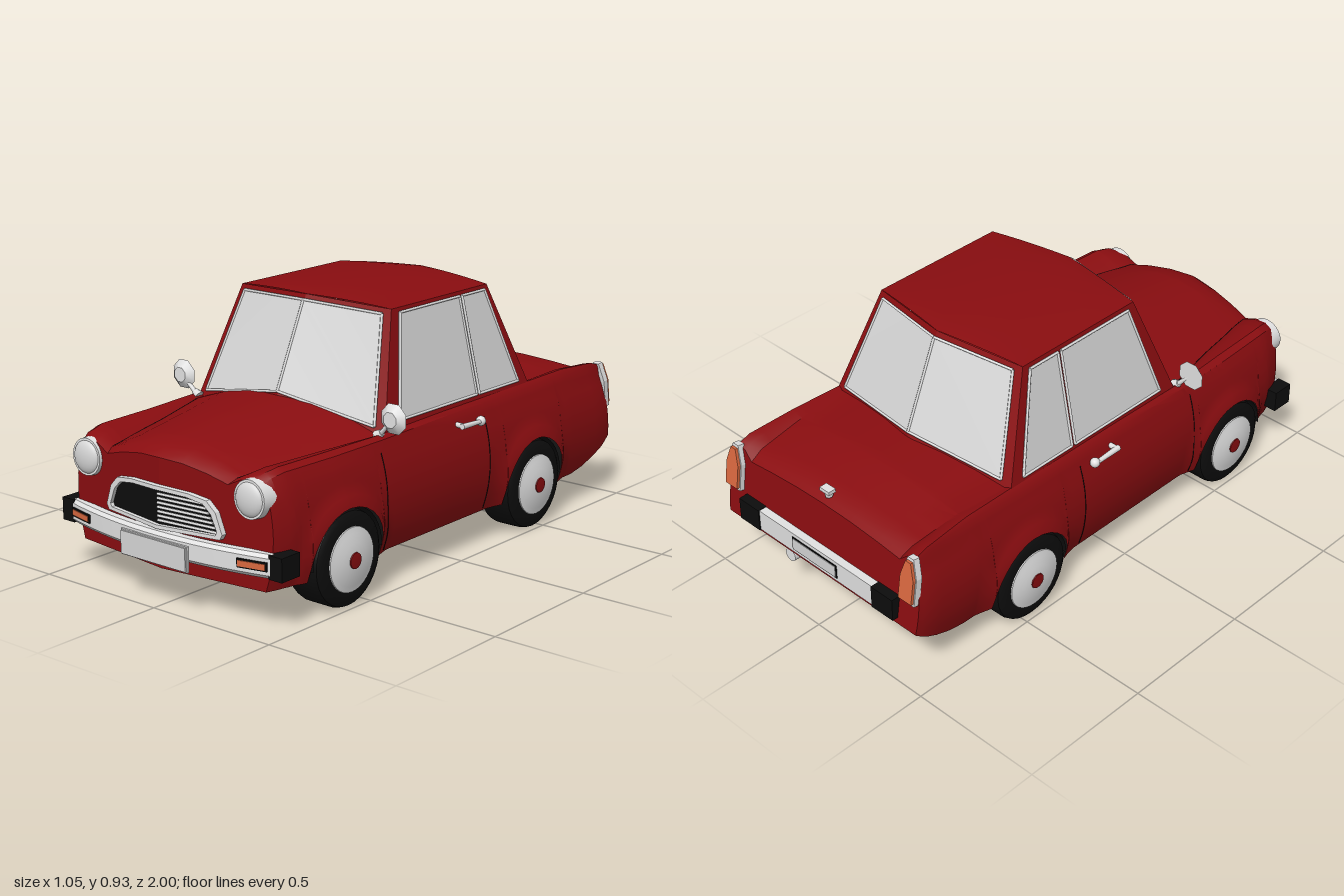
import * as THREE from 'three';
import { toCreasedNormals } from 'three/addons/utils/BufferGeometryUtils.js';

const mat = (name, color, side = THREE.FrontSide) => {
  const m = new THREE.MeshStandardMaterial({ color, side });
  m.name = name;
  return m;
};
const V = (x, y, z) => new THREE.Vector3(x, y, z);
const lerp = THREE.MathUtils.lerp;
const smooth = (t) => THREE.MathUtils.smoothstep(t, 0, 1);

// surface through rows of points
function grid(rows, crease = 0.6) {
  const n = rows[0].length, idx = [];
  for (let i = 0; i < rows.length - 1; i++) for (let j = 0; j < n - 1; j++) {
    const a = i * n + j, b = a + n;
    idx.push(a, b, a + 1, b, b + 1, a + 1);
  }
  const g = new THREE.BufferGeometry().setFromPoints(rows.flat());
  g.setIndex(idx);
  return toCreasedNormals(g, crease);
}

// body stations: z, centre height, crease x, crease y, fender crown x, crown y, half width
const STATIONS = [
  [-0.97, 0.49, 0.365, 0.47, 0.435, 0.51, 0.47], [-0.92, 0.515, 0.37, 0.495, 0.435, 0.525, 0.478],
  [-0.7, 0.55, 0.38, 0.52, 0.425, 0.535, 0.482], [-0.48, 0.56, 0.4, 0.525, 0.42, 0.53, 0.48],
  [0, 0.55, 0.4, 0.52, 0.42, 0.525, 0.48], [0.36, 0.59, 0.4, 0.505, 0.42, 0.518, 0.48],
  [0.6, 0.57, 0.34, 0.49, 0.405, 0.515, 0.478], [0.85, 0.545, 0.29, 0.475, 0.395, 0.515, 0.465],
  [0.93, 0.525, 0.28, 0.47, 0.385, 0.505, 0.452], [0.96, 0.5, 0.27, 0.455, 0.37, 0.487, 0.44]];
const WHEELS = [0.59, -0.46], WY = 0.165, ARCH = 0.174;

function station(z) {
  let i = 0;
  while (i < STATIONS.length - 2 && STATIONS[i + 1][0] < z) i++;
  const a = STATIONS[i], b = STATIONS[i + 1], t = (z - a[0]) / (b[0] - a[0]);
  return a.map((v, k) => lerp(v, b[k], t));
}
// lower edge with wheel arches and upswept tail
function bottom(z) {
  for (const w of WHEELS) if (Math.abs(z - w) < ARCH) return WY + Math.sqrt(ARCH ** 2 - (z - w) ** 2);
  return 0.125 + (z < -0.75 ? 0.105 * ((-0.75 - z) / 0.22) ** 1.5 : 0);
}
// half width of the flank, with flared arches
function sideX(y, z) {
  let flare = 0;
  for (const w of WHEELS) flare = Math.max(flare, 0.018 * smooth(1 - (Math.hypot(z - w, y - WY) - ARCH) / 0.07));
  return station(z)[6] * (1 - 2.2 * (y - 0.3) ** 2) + flare;
}
// pointed nose and raked tail
const warp = (x, y, z) => V(x, y, z - 0.12 * Math.abs(x) * smooth((z - 0.78) / 0.16) + 0.15 * (y - 0.3) * smooth((-0.7 - z) / 0.27));

function halfSection(z) {
  const [, yc, xv, yv, xs, ys] = station(z), low = bottom(z), top = ys - 0.045;
  const pts = [[0, yc], [xv * 0.35, lerp(yv, yc, 0.88)], [xv * 0.7, lerp(yv, yc, 0.5)], [xv, yv],
    [lerp(xv, xs, 0.5), lerp(yv, ys, 0.75)], [xs, ys], [lerp(xs, sideX(top, z), 0.62), ys - 0.013]];
  for (let k = 0; k <= 7; k++) {
    const y = lerp(top, low, k / 7);
    pts.push([sideX(y, z), y]);
  }
  return pts;
}

export function createModel() {
  const car = new THREE.Group();
  car.name = 'car';
  const red = mat('red paint', 0x8a0d10, THREE.DoubleSide);
  const black = mat('black rubber', 0x0d0d0d, THREE.DoubleSide);
  const glass = mat('pale glass', 0xd6d6d6, THREE.DoubleSide);
  const chrome = mat('chrome', 0xe2e2e2, THREE.DoubleSide);
  const orange = mat('orange lens', 0xd9683f);

  const add = (name, geo, m, x = 0, y = 0, z = 0) => {
    const mesh = new THREE.Mesh(geo, m);
    mesh.name = name;
    mesh.position.set(x, y, z);
    car.add(mesh);
    return mesh;
  };
  const box = (name, m, w, h, d, x, y, z) => add(name, new THREE.BoxGeometry(w, h, d), m, x, y, z);
  const rod = (name, m, p, q, r, r2 = r, n = 8) => {
    const d = q.clone().sub(p), c = p.clone().add(q).multiplyScalar(0.5);
    const mesh = add(name, new THREE.CylinderGeometry(r2, r, d.length(), n), m, c.x, c.y, c.z);
    mesh.quaternion.setFromUnitVectors(V(0, 1, 0), d.normalize());
    return mesh;
  };
  const loopTrim = (name, pts) => pts.forEach((p, i) => rod(name, chrome, p, pts[(i + 1) % pts.length], 0.005, 0.005, 6));
  const line = (name, pts) => add(name, new THREE.TubeGeometry(new THREE.CatmullRomCurve3(pts), 20, 0.0018, 4), black);

  // body shell
  const zs = STATIONS.map((s) => s[0]).concat([-0.95, -0.87, -0.81, -0.75, 0.2, -0.2, 0.78, 0.81, 0.89]);
  for (const w of WHEELS) {
    for (let k = 0; k <= 14; k++) zs.push(w + 0.9999 * ARCH * Math.cos(k * Math.PI / 14));
    for (const d of [ARCH + 0.0005, 0.21, 0.25]) zs.push(w + d, w - d);
  }
  zs.sort((a, b) => a - b);
  add('body', grid(zs.map((z) => {
    const h = halfSection(z).map(([x, y]) => warp(x, y, z));
    return [...h.slice(1).reverse().map((p) => V(-p.x, p.y, p.z)), ...h];
  })), red);
  for (const z of [0.96, -0.97]) for (const s of [1, -1]) {
    const pts = halfSection(z).concat([[0, bottom(z)]]).map(([x, y]) => new THREE.Vector2(s * x, y));
    const g = new THREE.ShapeGeometry(new THREE.Shape(pts)), p = g.attributes.position;
    for (let i = 0; i < p.count; i++) {
      const w = warp(p.getX(i), p.getY(i), z);
      p.setXYZ(i, w.x, w.y, w.z);
    }
    if (z < 0) g.setIndex([...g.index.array].reverse());
    g.computeVertexNormals();
    add(z > 0 ? 'nosePanel' : 'tailPanel', g, red);
  }

  // underside
  add('floor', grid(zs.map((z) => {
    const inArch = WHEELS.some((w) => Math.abs(z - w) < ARCH), y = inArch ? 0.127 : bottom(z) + 0.002;
    const x = inArch ? 0.33 : sideX(y, z) - 0.004;
    return [warp(-x, y, z), warp(0, y, z), warp(x, y, z)];
  })), black);

  // roof
  const R = { fc: V(0, 0.915, 0.235), f: V(0.335, 0.9, 0.19), r: V(0.335, 0.9, -0.35), rc: V(0, 0.915, -0.41) };
  add('roof', grid([0, 0.04, 0.1, 0.3, 0.5, 0.7, 0.9, 0.96, 1].map((t) => Array.from({ length: 13 }, (_, j) => {
    const u = (j - 6) / 6, s = Math.abs(u), bulge = 1 - Math.abs(2 * t - 1) ** 5;
    const z = lerp(lerp(R.fc.z, R.f.z, s), lerp(R.rc.z, R.r.z, s), t);
    return V(u * 0.335, 0.9 + (1 - s * s) * (0.015 + 0.013 * bulge), z);
  })), 0.9), red);

  // cabin walls and glass
  const B = { fc: V(0, 0.583, 0.39), f: V(0.425, 0.495, 0.335), r: V(0.425, 0.515, -0.5), rc: V(0, 0.558, -0.56) };
  const mir = (p, s) => V(p.x * s, p.y, p.z);
  const bil = (a, b, c, d, u, v) => a.clone().lerp(b, u).lerp(d.clone().lerp(c, u), v);
  const screens = [['windscreen', B.fc, B.f, R.f, R.fc, 1], ['rearWindow', B.rc, B.r, R.r, R.rc, -1]];
  for (const s of [1, -1]) {
    for (const [name, a, b, c, d, dir] of screens) {
      const at = (u, v, off) => mir(bil(a, b, c, d, u, v).add(V(0, off * 0.45, off * dir)), s);
      add(name + 'Frame', grid([[at(0, 0, 0), at(1, 0, 0)], [at(0, 1, 0), at(1, 1, 0)]]), red);
      add(name, grid([[at(0, 0.05, 0.006), at(0.91, 0.07, 0.006)], [at(0, 0.94, 0.006), at(0.91, 0.95, 0.006)]]), glass);
      loopTrim(name + 'Trim', [at(0, 0.05, 0.006), at(0.91, 0.07, 0.006), at(0.91, 0.95, 0.006), at(0, 0.94, 0.006)]);
    }
    add('cabinSide', grid([[mir(B.f, s), mir(B.r, s)], [mir(R.f, s), mir(R.r, s)]]), red);
    const wp = ([z, y]) => V(s * (0.431 - 0.225 * (y - 0.5)), y, z);
    const panes = { doorWindow: [[0.25, 0.545], [0.155, 0.885], [-0.178, 0.885], [-0.185, 0.545]],
      quarterWindow: [[-0.2, 0.545], [-0.193, 0.885], [-0.325, 0.885], [-0.435, 0.545]] };
    for (const name in panes) {
      const [a, b, c, d] = panes[name].map(wp);
      add(name, grid([[a, b], [d, c]]), glass);
      loopTrim(name + 'Trim', [a, b, c, d]);
    }

    // panel gaps
    const seam = (z) => [0.135, 0.2, 0.28, 0.36, 0.42, 0.47].map((y) => V(s * sideX(y, z), y, z));
    line('doorGap', seam(-0.19));
    line('doorGap', seam(0.385));
    line('bonnetGap', [0.36, 0.5, 0.6, 0.72, 0.85, 0.93].map((z) => warp(s * station(z)[2], station(z)[3], z)));

    // wheels and wells
    for (const z of WHEELS) {
      const lathe = (name, pts, m) => {
        const g = new THREE.LatheGeometry(pts.map(([r, h]) => new THREE.Vector2(r, h)), 32);
        const mesh = add(name, toCreasedNormals(g, 0.6), m, s * 0.42, WY, z);
        mesh.rotation.z = -s * Math.PI / 2;
      };
      lathe('tyre', [[0, -0.07], [0.145, -0.07], [0.16, -0.06], [0.165, -0.045], [0.165, 0.045], [0.16, 0.06], [0.145, 0.07], [0.11, 0.072], [0, 0.06]], black);
      lathe('wheelDisc', [[0.112, 0.068], [0.11, 0.076], [0.09, 0.08], [0.06, 0.088], [0, 0.09]], chrome);
      lathe('hubCap', [[0.029, 0.08], [0.027, 0.093], [0, 0.095]], red);
      const well = new THREE.CylinderGeometry(ARCH, ARCH, 0.15, 20, 1, true, 0, Math.PI);
      add('wheelWell', well.rotateZ(Math.PI / 2), black, s * 0.405, WY, z);
      add('wellWall', new THREE.CircleGeometry(ARCH, 20, 0, Math.PI).rotateY(Math.PI / 2), black, s * 0.33, WY, z);
    }

    // headlights
    const lamp = add('headlightRing', new THREE.CylinderGeometry(0.064, 0.07, 0.07, 28).rotateX(Math.PI / 2), chrome, s * 0.365, 0.425, 0.9);
    lamp.rotation.x = -0.05;
    const lens = add('headlight', new THREE.SphereGeometry(0.058, 24, 12), glass, s * 0.365, 0.425, 0.93);
    lens.scale.z = 0.4;

    // mirrors
    rod('mirrorFoot', chrome, V(s * 0.405, 0.51, 0.35), V(s * 0.425, 0.525, 0.35), 0.02, 0.012);
    rod('mirrorStem', chrome, V(s * 0.415, 0.515, 0.35), V(s * 0.475, 0.58, 0.36), 0.009, 0.006);
    add('mirror', new THREE.CylinderGeometry(0.028, 0.055, 0.022, 8).rotateX(Math.PI / 2).rotateZ(Math.PI / 8), chrome, s * 0.475, 0.58, 0.362);

    // door handles
    rod('doorHandle', chrome, V(s * 0.476, 0.472, -0.025), V(s * 0.476, 0.468, -0.13), 0.011, 0.008);
    add('handleButton', new THREE.SphereGeometry(0.018, 12, 8), chrome, s * 0.472, 0.468, -0.14);
    rod('handlePost', chrome, V(s * 0.44, 0.472, -0.035), V(s * 0.478, 0.472, -0.035), 0.01);

    // tail lights
    const tail = (k) => new THREE.Shape([[-0.03, 0], [0.03, 0], [0.03, 0.09], [0.012, 0.15], [-0.012, 0.15], [-0.03, 0.09]]
      .map(([x, y]) => new THREE.Vector2(x * k, 0.075 + (y - 0.075) * k)));
    for (const [name, k, d, m] of [['tailLightRim', 1.14, 0.025, chrome], ['tailLight', 1, 0.036, orange]]) {
      const g = new THREE.ExtrudeGeometry(tail(k), { depth: d, bevelEnabled: false }).translate(0, 0, -d);
      add(name, g, m, s * 0.43, 0.355, -0.955).rotation.x = 0.15;
    }

    // bumper ends and front indicators
    box('frontBumperEnd', black, 0.055, 0.08, 0.085, s * 0.467, 0.22, 0.888);
    box('rearBumperEnd', black, 0.1, 0.085, 0.035, s * 0.33, 0.295, -0.982);
    box('indicatorSurround', black, 0.108, 0.03, 0.008, s * 0.385, 0.221, 0.947).rotation.y = s * 0.227;
    box('indicator', orange, 0.098, 0.02, 0.008, s * 0.385, 0.221, 0.95).rotation.y = s * 0.227;

    // grille halves, folded along the centre
    const fold = (pts, depth, z0) => {
      const g = new THREE.ExtrudeGeometry(new THREE.Shape(pts.map(([x, y]) => new THREE.Vector2(s * x, y))), { depth, bevelEnabled: false });
      const p = g.attributes.position;
      for (let i = 0; i < p.count; i++) p.setZ(i, p.getZ(i) + z0 - 0.12 * Math.abs(p.getX(i)));
      g.computeVertexNormals();
      return g;
    };
    const outer = [[0, 0.41], [0.13, 0.405], [0.2, 0.394], [0.235, 0.36], [0.26, 0.29], [0.25, 0.272], [0, 0.265]];
    const inner = [[0, 0.396], [0.12, 0.392], [0.185, 0.381], [0.216, 0.352], [0.24, 0.295], [0.232, 0.284], [0, 0.278]];
    add('grilleFrame', fold([...outer, ...[...inner].reverse()], 0.022, 0.957), chrome);
    add('grilleBack', fold(inner, 0.006, 0.959), black);
  }
  // grille bars on one half only
  for (let k = 0; k < 7; k++) {
    const y = 0.293 + k * 0.0148, x = lerp(0.238, 0.185, k / 6);
    rod('grilleBar', chrome, V(0, y, 0.971), V(x, y - 0.002, 0.971 - 0.12 * x), 0.0048, 0.0048, 6);
  }

  // front bumper
  add('frontBumper', grid(Array.from({ length: 17 }, (_, i) => {
    const x = (i - 8) / 8 * 0.445, z = 0.99 - 0.3 * x * x;
    return [[0.18, -0.035], [0.18, -0.01], [0.192, 0], [0.248, 0], [0.26, -0.01], [0.26, -0.035]].map(([y, d]) => V(x, y, z + d));
  })), chrome);
  box('frontPlate', glass, 0.29, 0.08, 0.012, 0, 0.195, 0.994);
  box('frontPlateEdge', chrome, 0.298, 0.088, 0.008, 0, 0.195, 0.99);

  // rear bumper, boot handle and exhaust
  box('rearBumper', chrome, 0.56, 0.08, 0.03, 0, 0.295, -0.98);
  box('rearPlateEdge', black, 0.22, 0.052, 0.006, 0, 0.295, -0.995);
  box('rearPlate', glass, 0.21, 0.044, 0.006, 0, 0.295, -0.997);
  rod('bootHandle', chrome, V(0, 0.51, -0.915), V(0, 0.535, -0.92), 0.014);
  box('bootHandleGrip', chrome, 0.045, 0.014, 0.03, 0, 0.537, -0.92);
  rod('silencer', black, V(0.2, 0.145, -0.55), V(0.2, 0.145, -0.82), 0.028, 0.028, 12);
  rod('exhaustPipe', black, V(0.2, 0.15, -0.8), V(0.2, 0.155, -0.9), 0.012);
  rod('tailPipe', chrome, V(0.2, 0.155, -0.885), V(0.2, 0.155, -0.94), 0.025, 0.025, 12);
  return car;
}
